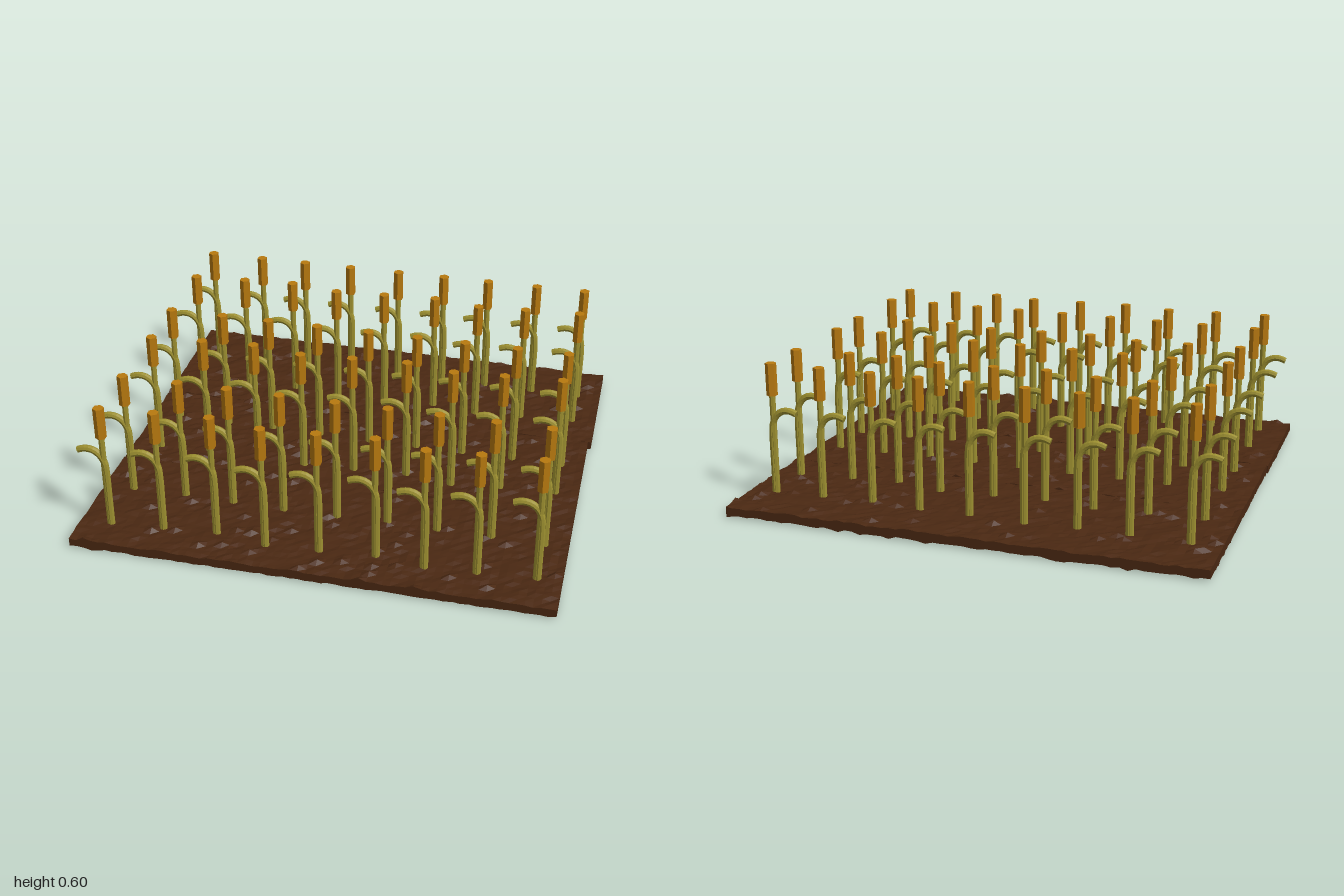
import * as THREE from 'three';

const soilMat = new THREE.MeshStandardMaterial({ color: 0x4a2812, flatShading: true });
const stalkMat = new THREE.MeshStandardMaterial({ color: 0x9c8f30, flatShading: true });
const headMat = new THREE.MeshStandardMaterial({ color: 0xb8790f, flatShading: true });

// Repeatable pseudo-random value for a lattice point
function hash(x, y, z) {
  const s = Math.sin(Math.round(x * 1000) * 12.9898 + y * 311.7 + Math.round(z * 1000) * 78.233) * 43758.5453;
  return s - Math.floor(s);
}

// Slab of lumpy earth: every vertex is nudged up or down, rarely into a taller clod
function soilStrip(x0, x1, z0, z1) {
  const w = x1 - x0, d = z1 - z0;
  const geo = new THREE.BoxGeometry(w, 0.036, d, 64, 1, 24);
  geo.translate((x0 + x1) / 2, 0.026, (z0 + z1) / 2);
  const p = geo.attributes.position;
  for (let i = 0; i < p.count; i++) {
    const x = p.getX(i), z = p.getZ(i), top = p.getY(i) > 0.026;
    const n = hash(x, top ? 1 : 0, z);
    const wave = Math.sin(x * 23 + z * 31) * 0.002;
    p.setY(i, top ? 0.041 + wave + 0.008 * n + (n > 0.97 ? 0.008 : 0) : 0.004 + 0.008 * n - (n < 0.05 ? 0.004 : 0));
  }
  geo.computeVertexNormals();
  return geo;
}

// Shared plant geometry, rooted at the origin
const stemGeo = new THREE.CylinderGeometry(0.013, 0.013, 0.44, 8).translate(0, 0.25, 0);
const headGeo = new THREE.CylinderGeometry(0.023, 0.023, 0.137, 6).translate(0, 0.5315, 0);

// Leaf sheath climbs the stem, then arches over towards -x
const leafPath = new THREE.CatmullRomCurve3([
  [0.007, 0.03], [0.007, 0.16], [0.007, 0.29], [0.002, 0.345], [-0.018, 0.381],
  [-0.048, 0.399], [-0.08, 0.4], [-0.106, 0.391],
].map(([x, y]) => new THREE.Vector3(x, y, 0)));
const leafGeo = new THREE.TubeGeometry(leafPath, 28, 0.0145, 8);
const leafTipGeo = new THREE.CircleGeometry(0.0145, 8);

function plant(x, z) {
  const g = new THREE.Group();
  g.name = 'plant';
  const add = (name, geo, mat) => {
    const m = new THREE.Mesh(geo, mat);
    m.name = name;
    g.add(m);
    return m;
  };
  add('stem', stemGeo, stalkMat);
  add('leaf', leafGeo, stalkMat);
  // cap closing the leaf end
  const tip = add('leafTip', leafTipGeo, stalkMat);
  tip.position.copy(leafPath.getPoint(1));
  tip.quaternion.setFromUnitVectors(new THREE.Vector3(0, 0, 1), leafPath.getTangent(1));
  add('seedHead', headGeo, headMat);
  g.position.set(x, 0, z);
  return g;
}

export function createModel() {
  const field = new THREE.Group();
  field.name = 'cropField';

  // Three strips of soil, slightly out of line with each other
  [[-0.995, 1, -0.915, -0.295], [-0.995, 0.985, -0.295, 0.285], [-1, 0.985, 0.285, 0.91]].forEach((s, i) => {
    const m = new THREE.Mesh(soilStrip(...s), soilMat);
    m.name = 'soilStrip' + (i + 1);
    field.add(m);
  });

  // Each strip carries one straight row and one row staggered in threes
  const straightX = [-0.875, -0.64, -0.43, -0.21, 0.02, 0.235, 0.442, 0.666, 0.882];
  const staggerX = [-0.875, -0.653, -0.43, -0.214, 0.005, 0.235, 0.438, 0.646, 0.882];
  const strips = [
    { straight: -0.685, stagger: -0.445, shift: 0.006 },
    { straight: -0.088, stagger: 0.153, shift: 0 },
    { straight: 0.51, stagger: 0.752, shift: 0 },
  ];
  for (const { straight, stagger, shift } of strips) {
    straightX.forEach((x) => field.add(plant(x + shift * (x > -0.8), straight)));
    staggerX.forEach((x, i) => field.add(plant(x + shift * (x > -0.8), stagger + 0.017 * (1 - (i % 3)))));
  }
  return field;
}
